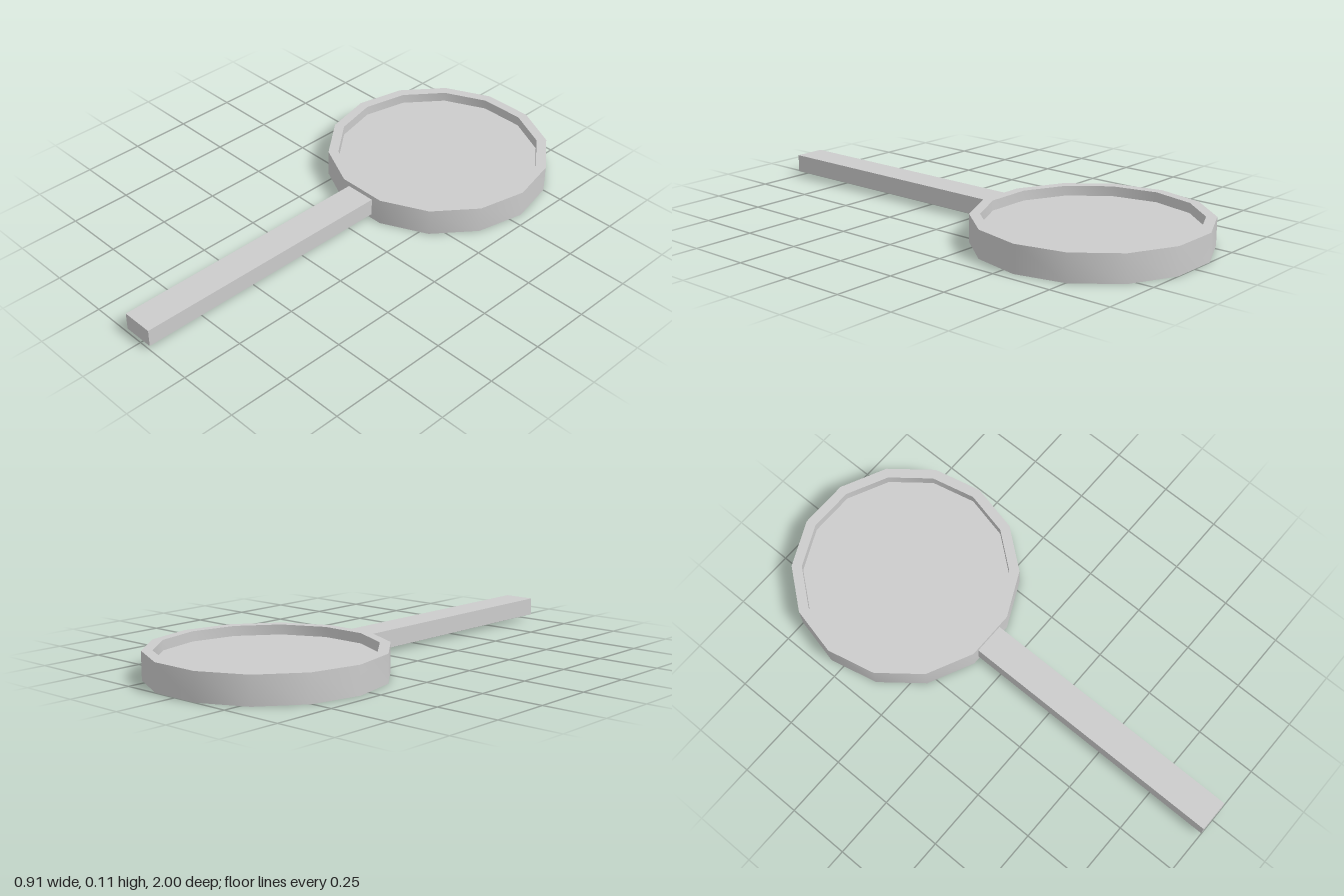
import * as THREE from 'three';
import { toCreasedNormals } from 'three/addons/utils/BufferGeometryUtils.js';

const SIDES = 14;
const OUTER = 0.456, INNER = 0.415, HEIGHT = 0.11;
const HEAD_Z = -0.555;

export function createModel() {
  const group = new THREE.Group();
  const material = new THREE.MeshStandardMaterial({ color: 0xcccccc });

  function add(name, geometry, x, y, z) {
    const mesh = new THREE.Mesh(geometry, material);
    mesh.name = name;
    mesh.position.set(x, y, z);
    group.add(mesh);
  }

  // Rim: a closed rectangular section turned around the lens
  const section = [
    [OUTER, 0], [OUTER, HEIGHT], [INNER, HEIGHT], [INNER, 0], [OUTER, 0],
  ].map(([r, y]) => new THREE.Vector2(r, y));
  const rim = new THREE.LatheGeometry(section, SIDES, Math.PI / 2);
  add('rim', toCreasedNormals(rim, Math.PI / 6), 0, 0, HEAD_Z);

  // Lens: a thin disc recessed on both sides of the rim
  const lens = new THREE.CylinderGeometry(INNER, INNER, 0.035, SIDES, 1, false, Math.PI / 2);
  add('lens', lens, 0, 0.0525, HEAD_Z);

  // Handle: a straight bar, slightly off-centre, meeting the front of the rim
  const start = -0.112, end = 1;
  add('handle', new THREE.BoxGeometry(0.129, 0.071, end - start), -0.0085, 0.0555, (start + end) / 2);

  return group;
}
